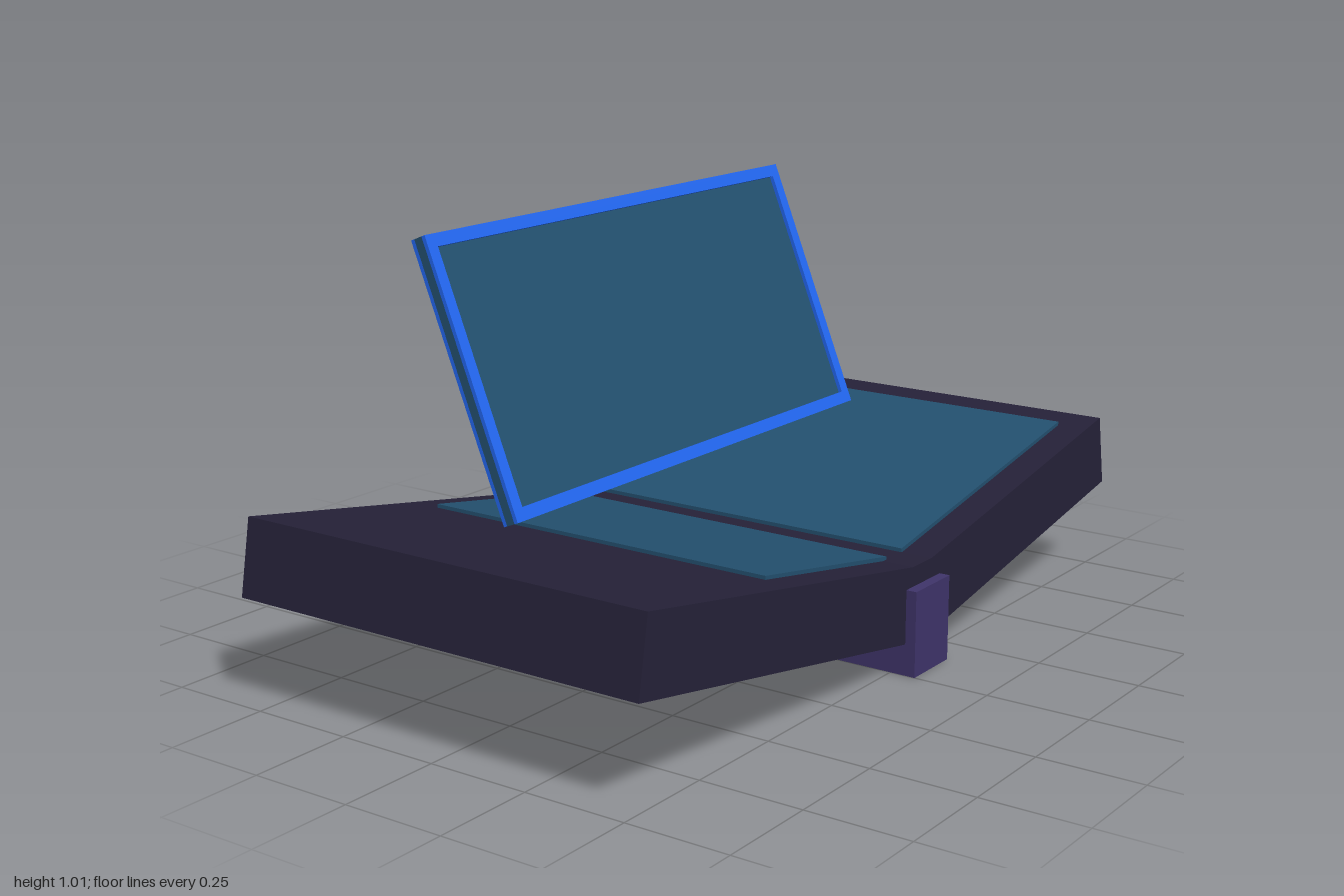
import * as THREE from 'three';

const mat = (color) => new THREE.MeshStandardMaterial({ color });

function box(name, w, h, d, material, x = 0, y = 0, z = 0) {
  const mesh = new THREE.Mesh(new THREE.BoxGeometry(w, h, d), material);
  mesh.name = name;
  mesh.position.set(x, y, z);
  return mesh;
}

// Extrude a profile drawn in x, y, centred on z = 0
function extrude(name, points, depth, material) {
  const shape = new THREE.Shape(points.map(([x, y]) => new THREE.Vector2(x, y)));
  const geo = new THREE.ExtrudeGeometry(shape, { depth, bevelEnabled: false });
  geo.translate(0, 0, -depth / 2);
  const mesh = new THREE.Mesh(geo, material);
  mesh.name = name;
  return mesh;
}

export function createModel() {
  const model = new THREE.Group();
  model.name = 'foldingConsole';
  const dark = mat(0x252138);
  const purple = mat(0x3f346a);
  const teal = mat(0x23506f);
  const blue = mat(0x2266f0);
  const slope = Math.tan(THREE.MathUtils.degToRad(10));

  // Two wings rising 10 degrees from the spine
  model.add(extrude('wings', [
    [-1, 0.254], [-0.005, 0.076], [0.143, 0.076], [1, 0.228],
    [0.969, 0.404], [0.112, 0.252], [0.027, 0.252], [-0.969, 0.43],
  ], 1.076, dark));

  // Spine under the fold
  model.add(box('spine', 0.15, 0.205, 1.128, purple, 0.075, 0.1025));

  // Thin inlays lying on the wings
  const inlays = [
    ['rightInlay', -0.455, 0.04, (x) => 0.252 + (0.027 - x) * slope],
    ['leftInlay', 0.108, 0.89, (x) => 0.252 + (x - 0.112) * slope],
  ];
  for (const [name, x0, x1, top] of inlays) {
    model.add(extrude(name, [
      [x0, top(x0) - 0.005], [x1, top(x1) - 0.005],
      [x1, top(x1) + 0.01], [x0, top(x0) + 0.01],
    ], 0.92, teal));
  }

  // Leaning display: a core plate with a thin frame on each face
  const W = 1.378, H = 0.66, T = 0.043, rim = 0.03, lip = 0.01;
  const display = new THREE.Group();
  display.name = 'display';
  display.position.set(0.098, 0.695, -0.244);
  display.rotation.x = THREE.MathUtils.degToRad(-22);
  display.add(box('screen', W, H, T - 2 * lip, teal));
  for (const side of [1, -1]) {
    const frame = new THREE.Group();
    frame.name = side > 0 ? 'frontFrame' : 'backFrame';
    frame.position.z = side * (T - lip) / 2;
    for (const s of [1, -1]) {
      frame.add(box('rail', W, rim, lip, blue, 0, s * (H - rim) / 2));
      frame.add(box('stile', rim, H - 2 * rim, lip, blue, s * (W - rim) / 2));
    }
    display.add(frame);
  }
  model.add(display);

  return model;
}
